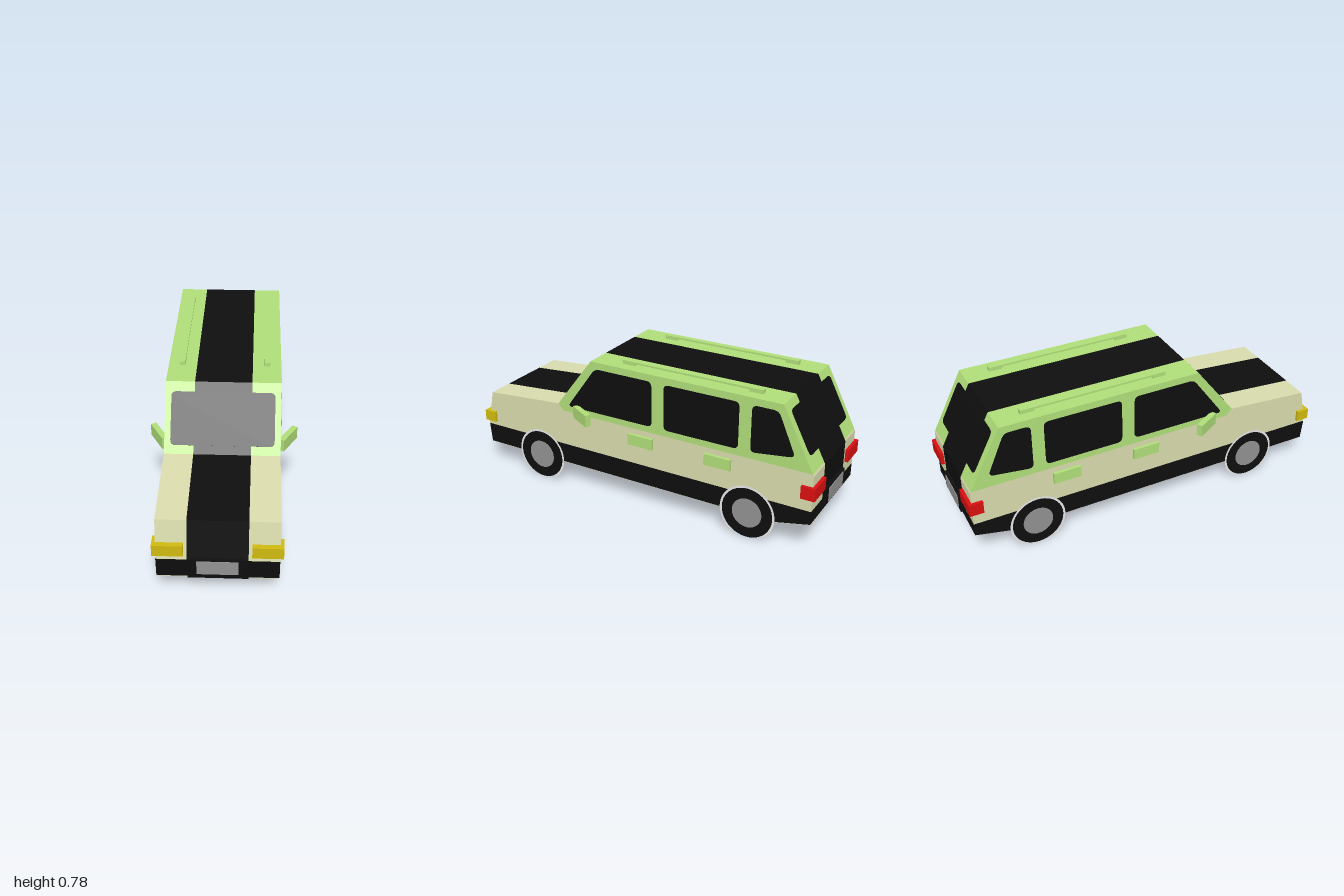
import * as THREE from 'three';

const paint = (name, color) => {
  const m = new THREE.MeshStandardMaterial({ color, side: THREE.DoubleSide });
  m.name = name;
  return m;
};

const HALF = 0.287, STRIPE = 0.142;      // half widths of body and centre stripe
const FRONT = 0.61, REAR = -0.65;        // axle positions
const AXLE_Y = 0.137, ARCH = 0.145;

// Points of a wheel arch, from angle a to angle b, as [z, y]
function arch(zc, a, b, r = ARCH) {
  const pts = [];
  for (let i = 0; i <= 14; i++) {
    const t = a + (b - a) * i / 14;
    pts.push([zc + r * Math.cos(t), AXLE_Y + r * Math.sin(t)]);
  }
  return pts;
}

// Polygon with softened corners
function softShape(pts, r) {
  const shape = new THREE.Shape();
  const v = pts.map(p => new THREE.Vector2(...p));
  v.forEach((p, i) => {
    const prev = v[(i + v.length - 1) % v.length], next = v[(i + 1) % v.length];
    const a = p.clone().add(prev.clone().sub(p).setLength(r));
    const b = p.clone().add(next.clone().sub(p).setLength(r));
    if (i === 0) shape.moveTo(a.x, a.y); else shape.lineTo(a.x, a.y);
    shape.quadraticCurveTo(p.x, p.y, b.x, b.y);
  });
  shape.closePath();
  return shape;
}

const hardShape = pts => new THREE.Shape(pts.map(p => new THREE.Vector2(...p)));

// Extrude a [z, y] side profile across x0..x1
function across(shape, x0, x1) {
  const g = new THREE.ExtrudeGeometry(shape, { depth: x1 - x0, bevelEnabled: false, curveSegments: 5 });
  return g.rotateY(-Math.PI / 2).translate(x1, 0, 0);
}

export function createModel() {
  const car = new THREE.Group();
  car.name = 'stationWagon';
  const black = paint('black', 0x0e0e0e);
  const green = paint('green', 0xb0de79);
  const beige = paint('beige', 0xd9dbad);
  const yellow = paint('yellow', 0xd0ba10);
  const red = paint('red', 0xda1010);
  const grey = paint('grey', 0x919191);
  const white = paint('white', 0xffffff);

  const add = (name, geometry, material) => {
    const m = new THREE.Mesh(geometry, material);
    m.name = name;
    car.add(m);
    return m;
  };
  const box = (name, mat, x0, x1, y0, y1, z0, z1) =>
    add(name, new THREE.BoxGeometry(Math.abs(x1 - x0), y1 - y0, z1 - z0)
      .translate((x0 + x1) / 2, (y0 + y1) / 2, (z0 + z1) / 2), mat);
  // Same x span on either side of the car
  const span = (s, a, b) => (s > 0 ? [a, b] : [-b, -a]);

  const top = Math.asin((0.24 - AXLE_Y) / ARCH), low = -0.048, PI = Math.PI;

  // Centre stripe: full length profile
  add('centreStripe', across(hardShape([
    [0.97, 0.12], [0.98, 0.24], [0.94, 0.44], [0.48, 0.475], [0.26, 0.76], [-0.81, 0.76],
    [-0.98, 0.43], [-0.98, 0.17], [-0.8, 0.122],
    ...arch(REAR, PI + 0.1, -0.1), ...arch(FRONT, PI + 0.1, -0.1),
  ]), -STRIPE, STRIPE), black);

  // Outer body bands: sill, painted lower body, cabin
  const bands = [
    ['frontBumper', black, [[0.97, 0.13], [0.98, 0.24], ...arch(FRONT, top, low)]],
    ['sill', black, [...arch(FRONT, PI - low, PI - top), ...arch(REAR, top, low)]],
    ['rearBumper', black, [...arch(REAR, PI - low, PI - top), [-0.98, 0.24], [-0.98, 0.17], [-0.8, 0.13]]],
    ['lowerBody', beige, [[0.98, 0.24], [0.94, 0.44], [0.48, 0.475], [0.45, 0.44], [-0.975, 0.44],
      [-0.98, 0.43], [-0.98, 0.24], ...arch(REAR, PI - top, top), ...arch(FRONT, PI - top, top)]],
    ['cabin', green, [[0.48, 0.475], [0.26, 0.76], [-0.81, 0.76], [-0.975, 0.44], [0.45, 0.44]]],
  ];
  // Underside skins and wheel well linings
  const linings = [
    ['frontUnderside', [[0.756, 0.13], [0.97, 0.13], [0.97, 0.126], [0.756, 0.126]]],
    ['midUnderside', [[0.465, 0.13], [-0.505, 0.13], [-0.505, 0.126], [0.465, 0.126]]],
    ['rearUnderside', [[-0.795, 0.13], [-0.8, 0.13], [-0.98, 0.17], [-0.98, 0.166], [-0.795, 0.125]]],
    ['frontWheelWell', [...arch(FRONT, PI, 0, 0.146), ...arch(FRONT, 0, PI, 0.142)]],
    ['rearWheelWell', [...arch(REAR, PI, 0, 0.146), ...arch(REAR, 0, PI, 0.142)]],
  ];
  const sideWindows = [
    ['frontWindow', [[0.415, 0.475], [0.235, 0.722], [-0.103, 0.722], [-0.103, 0.475]]],
    ['middleWindow', [[-0.173, 0.475], [-0.173, 0.722], [-0.587, 0.722], [-0.587, 0.475]]],
    ['rearWindow', [[-0.653, 0.475], [-0.653, 0.722], [-0.788, 0.722], [-0.882, 0.505]]],
  ];

  for (const s of [1, -1]) {
    for (const [name, mat, pts] of bands)
      add(name, across(hardShape(pts), ...span(s, STRIPE, HALF)), mat);
    for (const [name, pts] of linings)
      add(name, across(hardShape(pts), ...span(s, STRIPE, HALF - 0.004)), beige);
    for (const [name, pts] of sideWindows)
      add(name, across(softShape(pts, 0.028), ...span(s, HALF - 0.003, HALF + 0.002)), black);

    // Lamps
    box('headlamp', yellow, s * 0.158, s * 0.303, 0.266, 0.326, 0.92, 0.99);
    box('tailLamp', red, s * 0.158, s * 0.303, 0.307, 0.374, -0.998, -0.925);

    // Door handles
    box('frontDoorHandle', green, s * 0.28, s * 0.304, 0.35, 0.41, -0.112, 0.033);
    box('rearDoorHandle', green, s * 0.28, s * 0.304, 0.35, 0.41, -0.555, -0.41);

    // Roof rail on two feet
    box('roofRail', green, s * 0.202, s * 0.23, 0.771, 0.781, -0.68, 0.1);
    box('railFrontFoot', green, s * 0.202, s * 0.23, 0.755, 0.775, 0.028, 0.1);
    box('railRearFoot', green, s * 0.202, s * 0.23, 0.755, 0.775, -0.68, -0.608);

    // Swept back mirror
    const mirror = add('mirror', new THREE.BoxGeometry(0.03, 0.066, 0.145), green);
    mirror.position.set(s * 0.328, 0.458, 0.3);
    mirror.rotation.y = -s * 0.5;

    // Flat wheels with a pale arch trim
    for (const z of [FRONT, REAR]) {
      const disc = (name, r, t, mat) => add(name,
        new THREE.CylinderGeometry(r, r, t, 40).rotateZ(PI / 2).translate(s * HALF, AXLE_Y, z), mat);
      disc('tyre', 0.137, 0.006, black);
      disc('hub', 0.08, 0.01, grey);
      add('archTrim', new THREE.RingGeometry(0.135, 0.149, 40, 1, -1, PI + 2)
        .rotateY(s * PI / 2).translate(s * (HALF + 0.002), AXLE_Y, z), white);
    }
  }

  // Windscreen and rear glass lying on their slopes
  const glass = (name, w, h, lean, turn, y, z) => {
    const pts = [[-w, -h], [w, -h], [w, h], [-w, h]];
    const g = new THREE.ExtrudeGeometry(softShape(pts, 0.025), { depth: 0.006, bevelEnabled: false, curveSegments: 5 });
    add(name, g.translate(0, 0, -0.003).rotateX(-lean).rotateY(turn).translate(0, y, z), black);
  };
  glass('windscreen', 0.257, 0.133, Math.atan2(0.22, 0.285), 0, 0.615, 0.372);
  glass('rearGlass', 0.247, 0.12, Math.atan2(0.17, 0.33), PI, 0.615, -0.885);

  // Blank number plates on dark holders
  box('frontPlateHolder', black, -0.122, 0.122, 0.16, 0.252, 0.95, 0.996);
  box('frontPlate', grey, -0.097, 0.097, 0.17, 0.245, 0.99, 1);
  box('rearPlateHolder', black, -0.122, 0.122, 0.2, 0.292, -0.996, -0.95);
  box('rearPlate', grey, -0.097, 0.097, 0.209, 0.284, -1, -0.99);

  return car;
}
